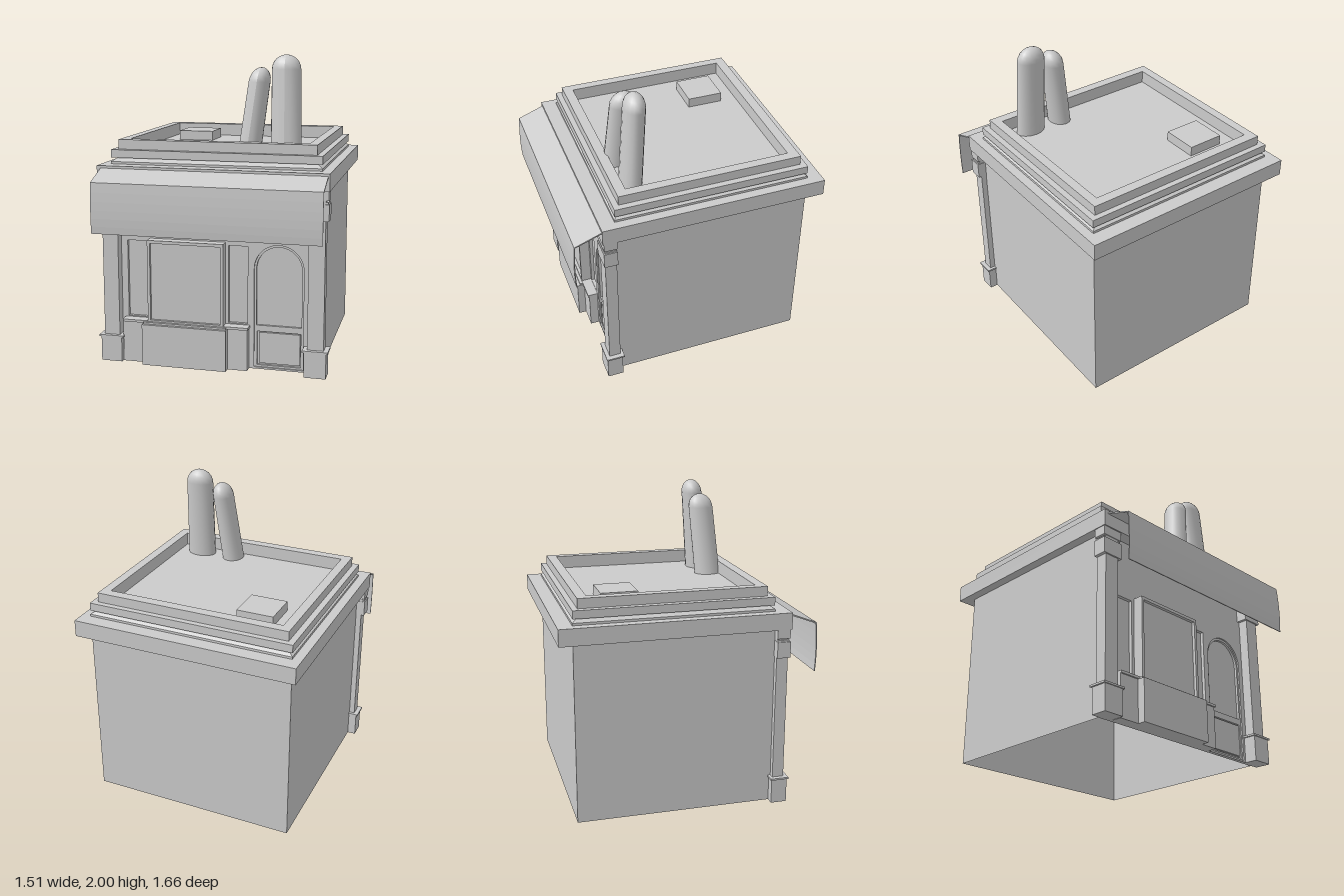
import * as THREE from 'three';

const grey = new THREE.MeshStandardMaterial({ color: 0xcccccc });
const sheet = new THREE.MeshStandardMaterial({ color: 0xcccccc, side: THREE.DoubleSide });
const CZ = -0.09; // centre of the building in z

export function createModel() {
  const root = new THREE.Group();

  const add = (name, geo, mat = grey) => {
    const m = new THREE.Mesh(geo, mat);
    m.name = name;
    root.add(m);
    return m;
  };
  // Box from its limits on each axis
  const box = (name, x0, x1, y0, y1, z0, z1) => {
    const g = new THREE.BoxGeometry(x1 - x0, y1 - y0, z1 - z0);
    g.translate((x0 + x1) / 2, (y0 + y1) / 2, (z0 + z1) / 2);
    return add(name, g);
  };
  const rect = (x0, x1, y0, y1, Type = THREE.Shape) => new Type([
    new THREE.Vector2(x0, y0), new THREE.Vector2(x1, y0),
    new THREE.Vector2(x1, y1), new THREE.Vector2(x0, y1)]);
  // Round-headed outline
  const arch = (cx, r, y0, top, Type = THREE.Shape) => {
    const s = new Type();
    s.moveTo(cx - r, y0);
    s.lineTo(cx + r, y0);
    s.lineTo(cx + r, top - r);
    s.absarc(cx, top - r, r, 0, Math.PI, false);
    s.closePath();
    return s;
  };
  // Upright plate with holes, between two z planes
  const plate = (name, shape, holes, z0, z1) => {
    shape.holes.push(...holes);
    const g = new THREE.ExtrudeGeometry(shape, { depth: z1 - z0, bevelEnabled: false, curveSegments: 16 });
    g.translate(0, 0, z0);
    return add(name, g);
  };
  // Flat rectangular ring around the roof
  const ring = (name, hx, hz, ix, iz, y0, y1) => {
    const s = rect(-hx, hx, -hz, hz);
    s.holes.push(rect(-ix, ix, -iz, iz, THREE.Path));
    const g = new THREE.ExtrudeGeometry(s, { depth: y1 - y0, bevelEnabled: false });
    g.rotateX(-Math.PI / 2).translate(0, y0, CZ);
    return add(name, g);
  };

  // Side and back walls, open underneath
  for (const s of [-1, 1]) {
    const wall = add('sideWall', new THREE.PlaneGeometry(1.29, 1.19), sheet);
    wall.rotation.y = s * Math.PI / 2;
    wall.position.set(s * 0.69, 0.595, CZ);
  }
  const back = add('backWall', new THREE.PlaneGeometry(1.38, 1.19), sheet);
  back.rotation.y = Math.PI;
  back.position.set(0, 0.595, -0.735);

  // Front wall with openings for side windows, bay and door
  plate('frontWall', rect(-0.69, 0.69, 0, 1.19), [
    rect(-0.58, -0.445, 0.295, 0.805, THREE.Path),
    rect(-0.40, 0.055, 0.295, 0.80, THREE.Path),
    rect(0.10, 0.225, 0.295, 0.805, THREE.Path),
    arch(0.427, 0.16, 0.012, 0.822, THREE.Path),
  ], 0.545, 0.572);
  for (const [x0, x1] of [[-0.58, -0.445], [0.10, 0.225]]) {
    box('sideWindowGlass', x0, x1, 0.295, 0.805, 0.54, 0.55);
  }

  // Projecting centre window
  plate('bayFrame', rect(-0.425, 0.08, 0.28, 0.825),
    [rect(-0.407, 0.06, 0.295, 0.805, THREE.Path)], 0.572, 0.64);
  box('bayGlass', -0.407, 0.06, 0.295, 0.805, 0.61, 0.62);

  // Stall riser and sills below the windows
  box('riser', -0.60, 0.235, 0, 0.272, 0.56, 0.63);
  box('riserSill', -0.60, 0.24, 0.272, 0.288, 0.56, 0.64);
  box('bayRiser', -0.455, 0.105, 0, 0.272, 0.56, 0.68);
  box('baySill', -0.45, 0.10, 0.272, 0.284, 0.56, 0.66);

  // Arched door with glass above and a framed panel below
  plate('doorFrame', arch(0.427, 0.16, 0.012, 0.822), [
    arch(0.427, 0.147, 0.29, 0.807, THREE.Path),
    rect(0.285, 0.57, 0.025, 0.25, THREE.Path),
  ], 0.545, 0.562);
  plate('doorBack', arch(0.427, 0.16, 0.012, 0.822), [], 0.535, 0.546);
  box('doorPanel', 0.297, 0.565, 0.037, 0.243, 0.54, 0.56);

  // Pilasters at both front corners
  for (const s of [-1, 1]) {
    const part = (name, half, y0, y1, z0, z1) =>
      box(name, s * 0.675 - half, s * 0.675 + half, y0, y1, z0, z1);
    part('pilasterBase', 0.07, 0, 0.165, 0.55, 0.655);
    part('pilasterBaseCap', 0.082, 0.165, 0.177, 0.54, 0.662);
    part('pilasterShaft', 0.052, 0.177, 1.19, 0.56, 0.636);
    part('pilasterCapital', 0.073, 1.005, 1.11, 0.557, 0.645);
    part('pilasterCollar', 0.066, 1.11, 1.122, 0.56, 0.638);
    part('pilasterTop', 0.07, 1.132, 1.19, 0.557, 0.642);
  }

  // Cornice, sloped step and parapet
  box('cornice', -0.75, 0.75, 1.19, 1.30, -0.83, 0.65);
  box('roofStep', -0.69, 0.69, 1.30, 1.315, -0.735, 0.555);
  const slope = new THREE.BoxGeometry(1.38, 0.025, 1.29);
  const p = slope.attributes.position;
  for (let i = 0; i < p.count; i++) {
    if (p.getY(i) > 0) p.setXYZ(i, p.getX(i) * 0.943, p.getY(i), p.getZ(i) * 0.94);
  }
  slope.computeVertexNormals();
  add('roofSlope', slope.translate(0, 1.3275, CZ));
  ring('parapetBand', 0.69, 0.642, 0.59, 0.54, 1.34, 1.392);
  ring('parapet', 0.65, 0.605, 0.59, 0.54, 1.392, 1.455);
  box('roofDeck', -0.60, 0.60, 1.335, 1.37, -0.64, 0.46);
  box('roofHatch', -0.48, -0.235, 1.37, 1.435, -0.52, -0.28);

  // Awning: a thin bent sheet running along the front
  const aw = new THREE.Shape();
  aw.moveTo(0.64, 1.288);
  aw.lineTo(0.825, 1.218);
  aw.quadraticCurveTo(0.842, 1.03, 0.828, 0.893);
  aw.lineTo(0.822, 0.893);
  aw.quadraticCurveTo(0.835, 1.03, 0.818, 1.212);
  aw.lineTo(0.64, 1.279);
  const awning = new THREE.ExtrudeGeometry(aw, { depth: 1.465, bevelEnabled: false, curveSegments: 6 });
  awning.rotateY(-Math.PI / 2).scale(1, 1, 1); // profile x becomes +z
  awning.translate(0.74, 0, 0);
  add('awning', awning, sheet);

  // Two leaning, round-topped posts with oval sections
  const post = (name, base, top, rx, rz, taper) => {
    const y0 = 1.36, h = top.y - y0, cap = 0.09;
    const pts = [new THREE.Vector2(1, 0), new THREE.Vector2(taper, h - cap)];
    for (let i = 1; i <= 6; i++) {
      const a = i / 6 * Math.PI / 2;
      pts.push(new THREE.Vector2(i === 6 ? 0 : taper * Math.cos(a), h - cap + cap * Math.sin(a)));
    }
    const g = new THREE.LatheGeometry(pts, 16);
    const q = g.attributes.position;
    for (let i = 0; i < q.count; i++) {
      const t = q.getY(i) / h;
      q.setXYZ(i, q.getX(i) * rx + THREE.MathUtils.lerp(base.x, top.x, t), q.getY(i) + y0,
        q.getZ(i) * rz + THREE.MathUtils.lerp(base.z, top.z, t));
    }
    g.computeVertexNormals();
    add(name, g, sheet);
  };
  post('shortPost', new THREE.Vector3(0.187, 0, 0.38), new THREE.Vector3(0.258, 1.92, 0.338), 0.073, 0.09, 0.95);
  post('tallPost', new THREE.Vector3(0.426, 0, 0.367), new THREE.Vector3(0.415, 2, 0.322), 0.1, 0.073, 0.94);

  return root;
}
